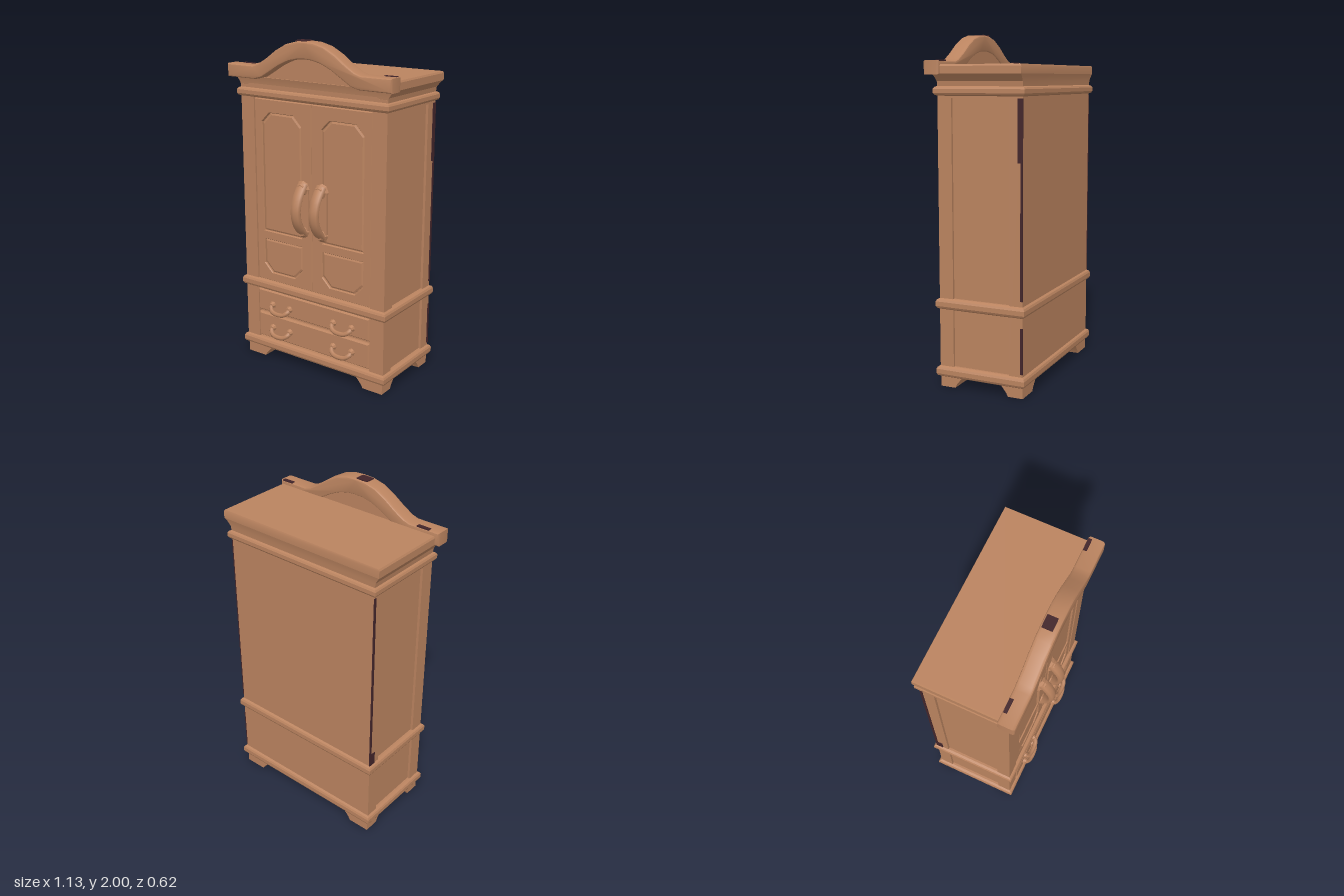
import * as THREE from 'three';
import { toCreasedNormals } from 'three/addons/utils/BufferGeometryUtils.js';

export function createModel() {
  const wood = new THREE.MeshStandardMaterial({ color: 0xba835f });
  wood.name = 'warm wood';
  const stain = new THREE.MeshStandardMaterial({ color: 0x42252a });
  stain.name = 'dark stain';
  const model = new THREE.Group();
  model.name = 'wardrobe';
  model.position.x = 0.01;

  function add(name, geometry, x = 0, y = 0, z = 0, material = wood) {
    const mesh = new THREE.Mesh(geometry, material);
    mesh.name = name;
    mesh.position.set(x, y, z);
    model.add(mesh);
  }

  // Box given by its limits
  function block(name, x0, x1, y0, y1, z0, z1, material = wood) {
    add(name, new THREE.BoxGeometry(x1 - x0, y1 - y0, z1 - z0),
      (x0 + x1) / 2, (y0 + y1) / 2, (z0 + z1) / 2, material);
  }

  // Stack of rectangular sections [y, x0, x1, zBack, zFront], bottom to top
  function stack(name, sections) {
    const pos = [], index = [];
    for (const [y, x0, x1, zb, zf] of sections) {
      pos.push(x0, y, zf, x1, y, zf, x1, y, zb, x0, y, zb);
    }
    for (let i = 0; i < sections.length - 1; i++) {
      for (let j = 0; j < 4; j++) {
        const a = i * 4 + j, b = i * 4 + (j + 1) % 4;
        index.push(a, b, b + 4, a, b + 4, a + 4);
      }
    }
    const t = (sections.length - 1) * 4;
    index.push(0, 2, 1, 0, 3, 2, t, t + 1, t + 2, t, t + 2, t + 3);
    const g = new THREE.BufferGeometry();
    g.setAttribute('position', new THREE.Float32BufferAttribute(pos, 3));
    g.setIndex(index);
    add(name, toCreasedNormals(g, 0.4));
  }

  // Rounded moulding running around the whole cabinet
  function moulding(name, y0, y1) {
    const h = y1 - y0;
    const profile = [[0, 0.02], [0.12, 0.006], [0.3, 0], [0.7, 0], [0.88, 0.006], [1, 0.02]];
    stack(name, profile.map(([t, inset]) =>
      [y0 + t * h, -0.528 + inset, 0.528 - inset, -0.308 + inset, 0.238 - inset]));
  }

  // Carcass with corner posts and rails leaving sunken side panels
  block('carcass', -0.495, 0.495, 0.07, 1.78, -0.29, 0.2);
  for (const s of [-1, 1]) {
    const side = (name, y0, y1, z0, z1) =>
      block(name, Math.min(s * 0.49, s * 0.51), Math.max(s * 0.49, s * 0.51), y0, y1, z0, z1);
    side('backPost', 0.1, 1.72, -0.29, -0.21);
    side('sideFrontStile', 0.1, 1.72, 0.135, 0.2);
    side('sideTopRail', 1.64, 1.72, -0.21, 0.135);
    block('frontPost', s > 0 ? 0.415 : -0.51, s > 0 ? 0.51 : -0.415, 0.1, 1.72, 0.19, 0.22);
  }

  // Feet tapering towards the floor
  for (const s of [-1, 1]) {
    for (const front of [true, false]) {
      const section = (y, inner, depth) => [y,
        s > 0 ? inner : -0.505, s > 0 ? 0.505 : -inner,
        front ? 0.22 - depth : -0.29, front ? 0.22 : -0.29 + depth];
      stack('foot', [section(0, 0.37, 0.09), section(0.02, 0.36, 0.1), section(0.07, 0.315, 0.14)]);
    }
  }

  // Horizontal mouldings and flared cornice
  moulding('baseMoulding', 0.06, 0.125);
  moulding('waistMoulding', 0.455, 0.52);
  moulding('upperMoulding', 1.65, 1.705);
  stack('cornice', [
    [1.69, -0.51, 0.51, -0.29, 0.215], [1.73, -0.515, 0.515, -0.292, 0.22],
    [1.755, -0.53, 0.535, -0.296, 0.225], [1.772, -0.542, 0.553, -0.3, 0.23],
  ]);
  stack('topBoard', [
    [1.77, -0.542, 0.553, -0.3, 0.2], [1.81, -0.542, 0.553, -0.3, 0.2],
    [1.82, -0.536, 0.547, -0.296, 0.2],
  ]);

  // Arched crown: half profiles mirrored about the centre
  const mirrored = half => [...half.map(([x, y]) => new THREE.Vector2(-x, y)),
    ...half.slice(0, -1).reverse().map(([x, y]) => new THREE.Vector2(x, y))];
  const upper = mirrored([[0.557, 1.834], [0.37, 1.834], [0.33, 1.847], [0.27, 1.882],
    [0.2, 1.931], [0.13, 1.968], [0.06, 1.986], [0, 1.989]]);
  const lower = mirrored([[0.557, 1.772], [0.36, 1.772], [0.31, 1.785], [0.25, 1.82],
    [0.18, 1.862], [0.11, 1.892], [0.05, 1.905], [0, 1.908]]);
  const crown = new THREE.ExtrudeGeometry(
    new THREE.Shape([...lower, ...upper.slice().reverse()]),
    { depth: 0.066, bevelThickness: 0.015, bevelSize: 0.012, bevelOffset: -0.004, bevelSegments: 3 });
  add('archedCrown', toCreasedNormals(crown, 0.5), 0, 0, 0.195);
  const tympanum = new THREE.Shape([new THREE.Vector2(-0.5, 1.7),
    ...lower.slice(1, -1), new THREE.Vector2(0.5, 1.7)]);
  add('pedimentPanel', new THREE.ExtrudeGeometry(tympanum, { depth: 0.035, bevelEnabled: false }), 0, 0, 0.185);

  // Panel outline with clipped corners at the top or at the bottom
  function panelPath(x0, x1, y0, y1, clipTop, inset = 0) {
    const c = 0.055, a = x0 + inset, b = x1 - inset, d = y0 + inset, e = y1 - inset;
    const pts = clipTop
      ? [[a, d], [b, d], [b, e - c], [b - c, e], [a + c, e], [a, e - c]]
      : [[a, d + c], [a + c, d], [b - c, d], [b, d + c], [b, e], [a, e]];
    return pts.map(([x, y]) => new THREE.Vector2(x, y));
  }

  // Two doors with sunken panels
  for (const s of [-1, 1]) {
    const x0 = s > 0 ? 0.001 : -0.414, x1 = s > 0 ? 0.414 : -0.001;
    const px0 = s > 0 ? 0.075 : -0.36, px1 = s > 0 ? 0.36 : -0.075;
    const door = new THREE.Shape([[x0, 0.52], [x1, 0.52], [x1, 1.645], [x0, 1.645]]
      .map(([x, y]) => new THREE.Vector2(x, y)));
    const panels = [[px0, px1, 0.84, 1.565, true], [px0, px1, 0.575, 0.785, false]];
    for (const p of panels) door.holes.push(new THREE.Path(panelPath(...p)));
    add('door', new THREE.ExtrudeGeometry(door, {
      depth: 0.014, bevelThickness: 0.006, bevelSize: 0.004, bevelOffset: -0.004, bevelSegments: 1,
    }), 0, 0, 0.195);
    for (const p of panels) {
      add('doorPanel', new THREE.ExtrudeGeometry(new THREE.Shape(panelPath(...p, 0.012)), {
        depth: 0.004, bevelThickness: 0.005, bevelSize: 0.01, bevelSegments: 1,
      }), 0, 0, 0.2);
    }
  }

  // Broad arched door pulls on back plates
  for (const x of [-0.06, 0.07]) {
    const curve = new THREE.CatmullRomCurve3([[0.875, 0.215], [0.92, 0.255], [0.97, 0.28],
      [1.03, 0.287], [1.09, 0.272], [1.13, 0.25], [1.175, 0.215]]
      .map(([y, z]) => new THREE.Vector3(0, y, z)));
    const grip = new THREE.TubeGeometry(curve, 16, 0.021, 8);
    grip.scale(1.7, 1, 1);
    add('doorPull', grip, x);
    block('pullBackPlate', x - 0.044, x + 0.044, 0.9, 1.15, 0.205, 0.224);
    for (const [y, r] of [[0.89, 0.045], [1.15, 0.05]]) {
      const boss = new THREE.CylinderGeometry(r * 0.55, r, 0.035, 8);
      boss.rotateX(Math.PI / 2);
      add('pullBoss', toCreasedNormals(boss, 0.5), x, y, 0.227);
    }
  }

  // Drawers with swinging bail handles
  for (const [y0, y1, hy] of [[0.312, 0.452, 0.36], [0.135, 0.295, 0.208]]) {
    const w = 0.405, b = 0.008;
    const face = new THREE.Shape([[-w, y0 + b], [w, y0 + b], [w, y1 - b], [-w, y1 - b]]
      .map(([x, y]) => new THREE.Vector2(x, y)));
    add('drawerFront', new THREE.ExtrudeGeometry(face, {
      depth: 0.018, bevelThickness: 0.01, bevelSize: b, bevelSegments: 1,
    }), 0, 0, 0.196);
    for (const x of [-0.232, 0.228]) {
      const bail = new THREE.CatmullRomCurve3([[-0.068, 0.008, 0.225], [-0.062, -0.012, 0.248],
        [-0.035, -0.029, 0.258], [0.035, -0.029, 0.258], [0.062, -0.012, 0.248], [0.068, 0.008, 0.225]]
        .map(p => new THREE.Vector3(...p)));
      add('drawerHandle', new THREE.TubeGeometry(bail, 16, 0.015, 6), x, hy);
      for (const s of [-1, 1]) {
        const rose = new THREE.CylinderGeometry(0.014, 0.024, 0.025, 8);
        rose.rotateX(Math.PI / 2);
        add('handleRose', toCreasedNormals(rose, 0.5), x + s * 0.066, hy + 0.006, 0.232);
      }
    }
  }

  // Dark stains along the back corners: [side, bottom, top, width]
  for (const [s, y0, y1, w] of [[1, 0.55, 1.3, 0.014], [1, 1.3, 1.64, 0.03], [1, 0.14, 0.4, 0.014],
    [-1, 0.6, 1.64, 0.014], [-1, 0.52, 0.6, 0.045]]) {
    block('cornerStain', s * 0.511 - 0.003, s * 0.511 + 0.003, y0, y1, -0.292, -0.292 + w, stain);
  }
  // Dark stains on top of the crown and on the underside
  block('crownStain', -0.075, 0, 1.994, 2, 0.19, 0.25, stain);
  block('crownStain', -0.5, -0.42, 1.837, 1.845, 0.184, 0.205, stain);
  block('crownStain', 0.475, 0.55, 1.837, 1.845, 0.184, 0.205, stain);
  block('undersideStain', -0.41, -0.33, 0.056, 0.062, -0.12, 0.1, stain);
  block('undersideStain', 0.35, 0.45, 0.056, 0.062, 0.02, 0.085, stain);

  return model;
}
